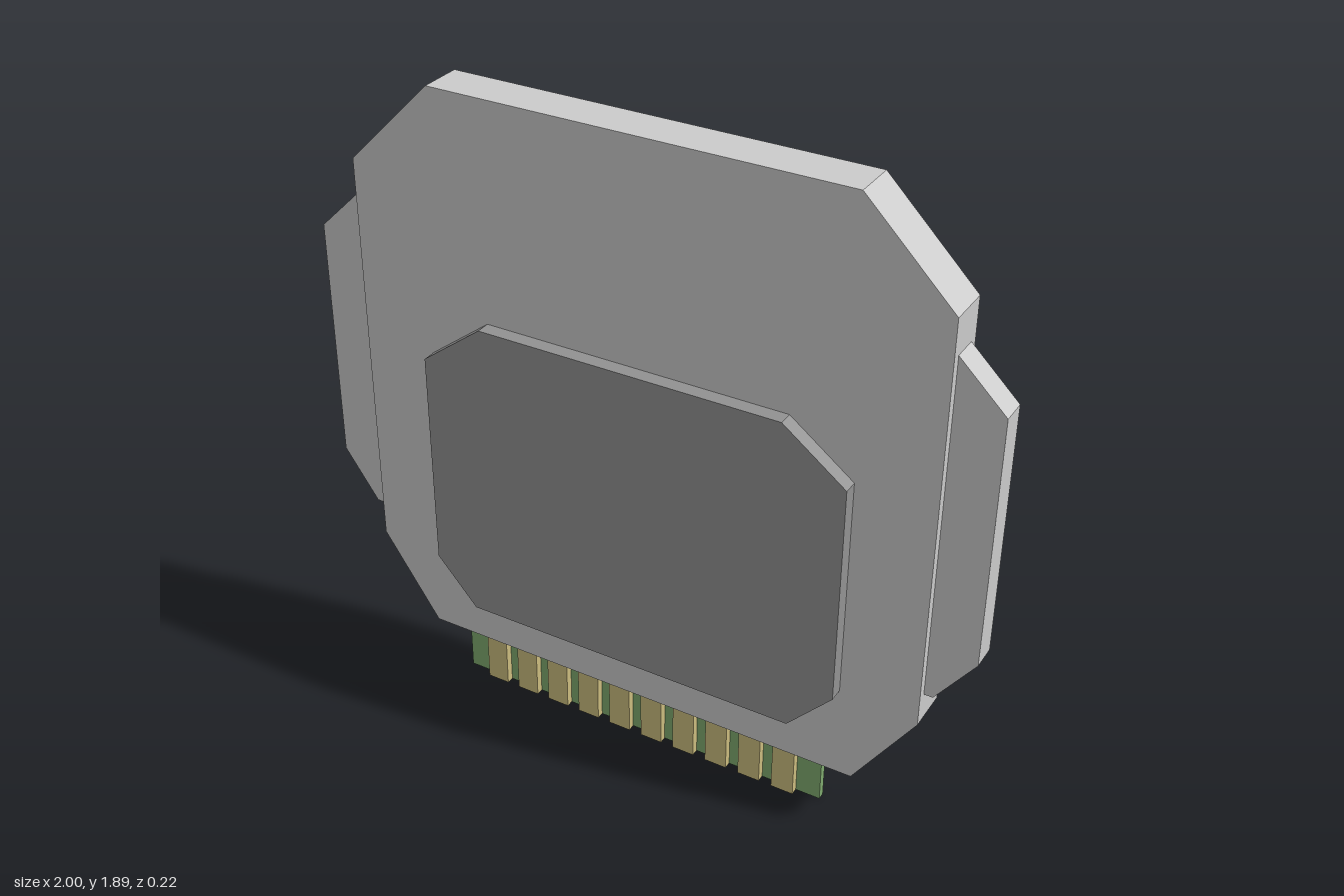
import * as THREE from 'three';

const grey = new THREE.MeshStandardMaterial({ color: 0xcccccc, flatShading: true });
const darkGrey = new THREE.MeshStandardMaterial({ color: 0x929292, flatShading: true });
const green = new THREE.MeshStandardMaterial({ color: 0x80aa6f, flatShading: true });
const gold = new THREE.MeshStandardMaterial({ color: 0xccbd7f, flatShading: true });

// Flat plate cut from an outline, spanning z0 to z1
function plate(name, outline, z0, z1, material) {
  const shape = new THREE.Shape(outline.map(([x, y]) => new THREE.Vector2(x, y)));
  const geometry = new THREE.ExtrudeGeometry(shape, { depth: z1 - z0, bevelEnabled: false });
  geometry.translate(0, 0, z0);
  const mesh = new THREE.Mesh(geometry, material);
  mesh.name = name;
  return mesh;
}

function box(name, x0, x1, y0, y1, z0, z1, material) {
  const mesh = new THREE.Mesh(new THREE.BoxGeometry(x1 - x0, y1 - y0, z1 - z0), material);
  mesh.position.set((x0 + x1) / 2, (y0 + y1) / 2, (z0 + z1) / 2);
  mesh.name = name;
  return mesh;
}

export function createModel() {
  const model = new THREE.Group();
  model.name = 'cartridge';

  // Main casing with clipped corners
  model.add(plate('casing', [
    [-0.68, 0.175], [0.69, 0.175], [0.865, 0.435], [0.865, 1.64],
    [0.61, 1.895], [-0.6, 1.895], [-0.855, 1.64], [-0.855, 0.435],
  ], -0.062, 0.065, grey));

  // Raised panels on the front and back
  const panel = [
    [-0.505, 0.315], [0.51, 0.315], [0.64, 0.455], [0.64, 1.115],
    [0.455, 1.255], [-0.445, 1.255], [-0.63, 1.115], [-0.63, 0.455],
  ];
  model.add(plate('frontPanel', panel, 0.06, 0.108, darkGrey));
  model.add(plate('backPanel', panel, -0.108, -0.057, darkGrey));

  // Thin grips on both sides
  model.add(plate('leftGrip', [
    [0.84, 0.52], [0.89, 0.52], [1, 0.67], [1, 1.4], [0.865, 1.53], [0.84, 1.53],
  ], -0.036, 0.04, grey));
  model.add(plate('rightGrip', [
    [-0.83, 0.52], [-0.83, 1.54], [-0.855, 1.54], [-1, 1.4], [-1, 0.67], [-0.895, 0.52],
  ], -0.036, 0.04, grey));

  // Circuit board edge below the casing
  model.add(box('circuitBoard', -0.6, 0.58, 0, 0.2, -0.009, 0.013, green));

  // Row of contacts on both faces of the board
  const contacts = new THREE.Group();
  contacts.name = 'contacts';
  for (let i = 0; i < 10; i++) {
    const x = -0.49 + i * 0.1069;
    contacts.add(box('frontContact', x - 0.034, x + 0.034, 0, 0.2, 0.012, 0.035, gold));
    contacts.add(box('backContact', x - 0.034, x + 0.034, 0, 0.2, -0.028, -0.008, gold));
  }
  model.add(contacts);

  return model;
}
